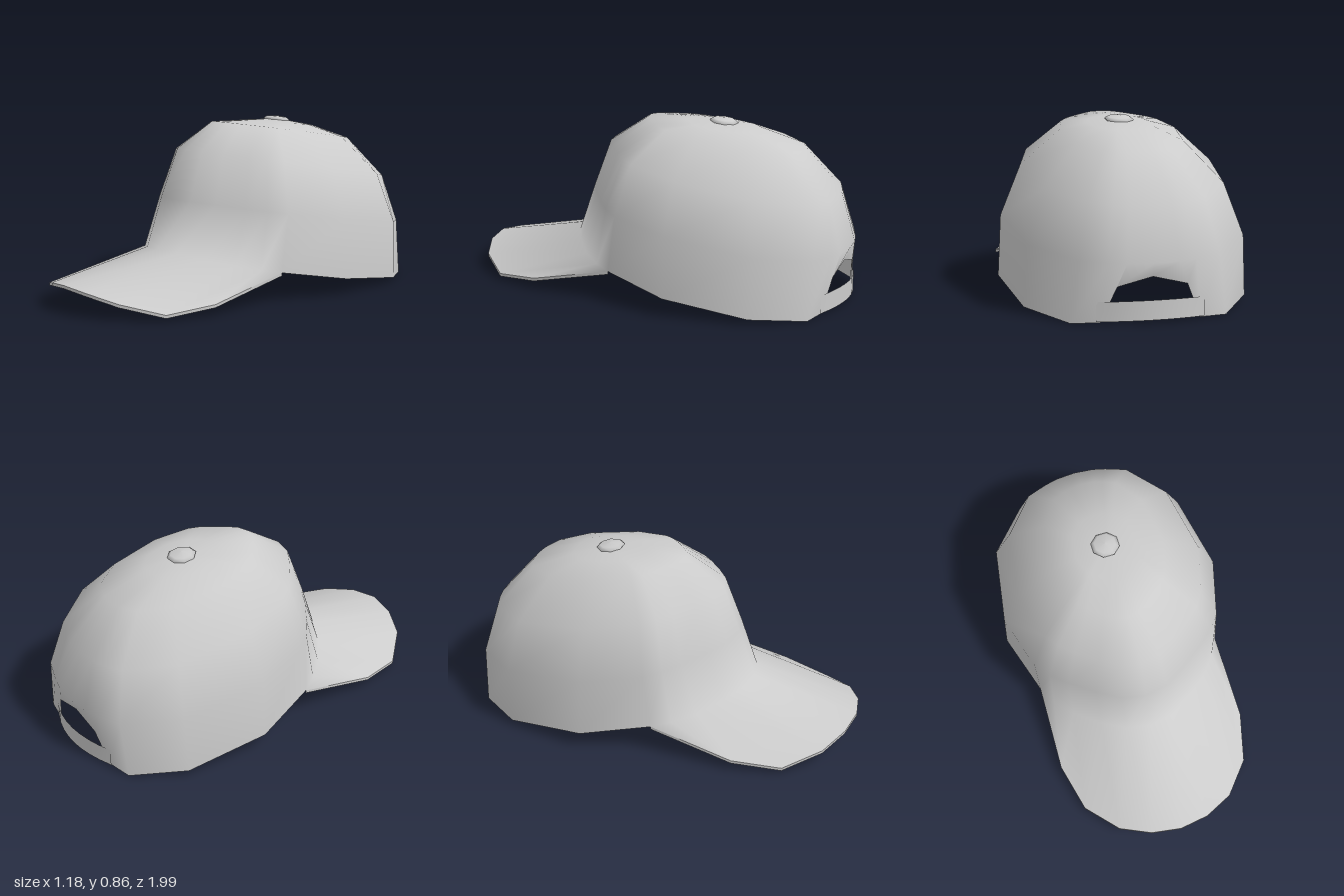
import * as THREE from 'three';
import { mergeVertices } from 'three/addons/utils/BufferGeometryUtils.js';

const material = new THREE.MeshStandardMaterial({ color: 0xcccccc });
const openMaterial = new THREE.MeshStandardMaterial({ color: 0xcccccc, side: THREE.DoubleSide });

// Half outlines, from the front centre round the left side to the back centre.
const BASE = [
  [0, 0.24, 0.455], [0.12, 0.235, 0.43], [0.24, 0.215, 0.36], [0.36, 0.185, 0.26],
  [0.44, 0.165, 0.16], [0.49, 0.15, 0.07], [0.59, 0.09, -0.27], [0.53, 0.03, -0.68],
  [0.36, 0.003, -0.91], [0.23, 0.005, -0.935], [0.16, 0.17, -0.965], [0, 0.21, -0.97],
];
const WAIST = [
  [0, 0.365], [0.12, 0.34], [0.23, 0.27], [0.35, 0.18], [0.43, 0.11], [0.49, 0.03],
  [0.575, -0.27], [0.515, -0.69], [0.325, -0.92], [0.2, -0.965], [0.12, -0.985], [0, -0.995],
];
// Outer edge of the brim, matching the first columns of the base
const BRIM = [
  [0, 0.135, 0.995], [0.15, 0.12, 0.97], [0.3, 0.085, 0.895],
  [0.44, 0.035, 0.73], [0.5, 0.06, 0.49], [0.49, 0.15, 0.07],
];
const CENTRE_Z = -0.33;
const THICKNESS = 0.015;

// Mirrors a half outline into a closed loop
function loop(half) {
  const other = half.slice(1, -1).reverse().map(([x, y, z]) => [-x, y, z]);
  return [...half, ...other, half[0]];
}

// Smooth skin over rows with equal numbers of points
function skin(rows) {
  const cols = rows[0].length;
  const index = [];
  for (let r = 0; r < rows.length - 1; r++) {
    for (let c = 0; c < cols - 1; c++) {
      const a = r * cols + c;
      const d = a + cols;
      index.push(a, a + 1, d + 1, a, d + 1, d);
    }
  }
  let g = new THREE.BufferGeometry();
  g.setAttribute('position', new THREE.Float32BufferAttribute(rows.flat(2), 3));
  g.setIndex(index);
  g = mergeVertices(g, 1e-4);
  g.computeVertexNormals();
  return g;
}

// Crown ring: the waist outline shrunk towards the button and tilted with z
function ring(sx, front, back, y, slope) {
  return WAIST.map(([x, z]) => {
    const dz = z - CENTRE_Z;
    const nz = CENTRE_Z + dz * (dz > 0 ? front : back);
    return [x * sx, y + slope * (nz + 0.28), nz];
  });
}

function add(group, name, geometry, mat) {
  const mesh = new THREE.Mesh(geometry, mat);
  mesh.name = name;
  group.add(mesh);
  return mesh;
}

export function createModel() {
  const group = new THREE.Group();
  group.name = 'cap';
  const lower = ([x, y, z]) => [x, y - THICKNESS, z];
  const edge = BASE.map((p, i) => BRIM[i] ?? p);

  // Crown flowing into the top of the brim
  const crownRows = [
    edge,
    BASE,
    ring(1, 1, 1, 0.385, 0.155),
    ring(0.83, 0.87, 0.895, 0.63, 0.17),
    ring(0.5, 0.58, 0.62, 0.8, 0.15),
    ring(0.27, 0.28, 0.28, 0.835, 0.1),
    BASE.map(() => [0, 0.85, CENTRE_Z]),
  ];
  add(group, 'crownAndBrim', skin(crownRows.map(loop)), openMaterial);

  // Underside of the brim, carried on into a lining inside the crown
  const lining = BASE.map(([x, y, z], i) =>
    i < 6 ? [x, y - THICKNESS, z] : [x * 0.985, i === 6 ? 0.095 : 0.07, z * 0.985]);
  const under = lining.map((p, i) => (i < 6 ? lower(BRIM[i]) : p));
  const middle = BASE.map(() => [0, 0.12, CENTRE_Z]);
  add(group, 'brimUndersideAndLining', skin([middle, lining, under].map(loop)), material);

  // Thin front edge of the brim
  const rim = [...BRIM.slice(1).reverse().map(([x, y, z]) => [-x, y, z]), ...BRIM];
  add(group, 'brimEdge', skin([rim.map(lower), rim]), openMaterial);

  // Curved strap across the back opening
  const strapRow = (y) => Array.from({ length: 9 }, (_, i) => {
    const t = 1 - i / 4;
    return [0.25 * t, y - 0.01 * t * t, -0.998 + 0.06 * t * t];
  });
  add(group, 'backStrap', skin([strapRow(0.02), strapRow(0.11)]), openMaterial);

  // Button on top
  const profile = [[0.062, -0.015], [0.072, 0], [0.055, 0.012], [0, 0.018]]
    .map(([x, y]) => new THREE.Vector2(x, y));
  const button = add(group, 'topButton', new THREE.LatheGeometry(profile, 8, Math.PI / 8), material);
  button.position.set(0, 0.847, CENTRE_Z);
  button.rotation.x = -0.13;

  return group;
}
